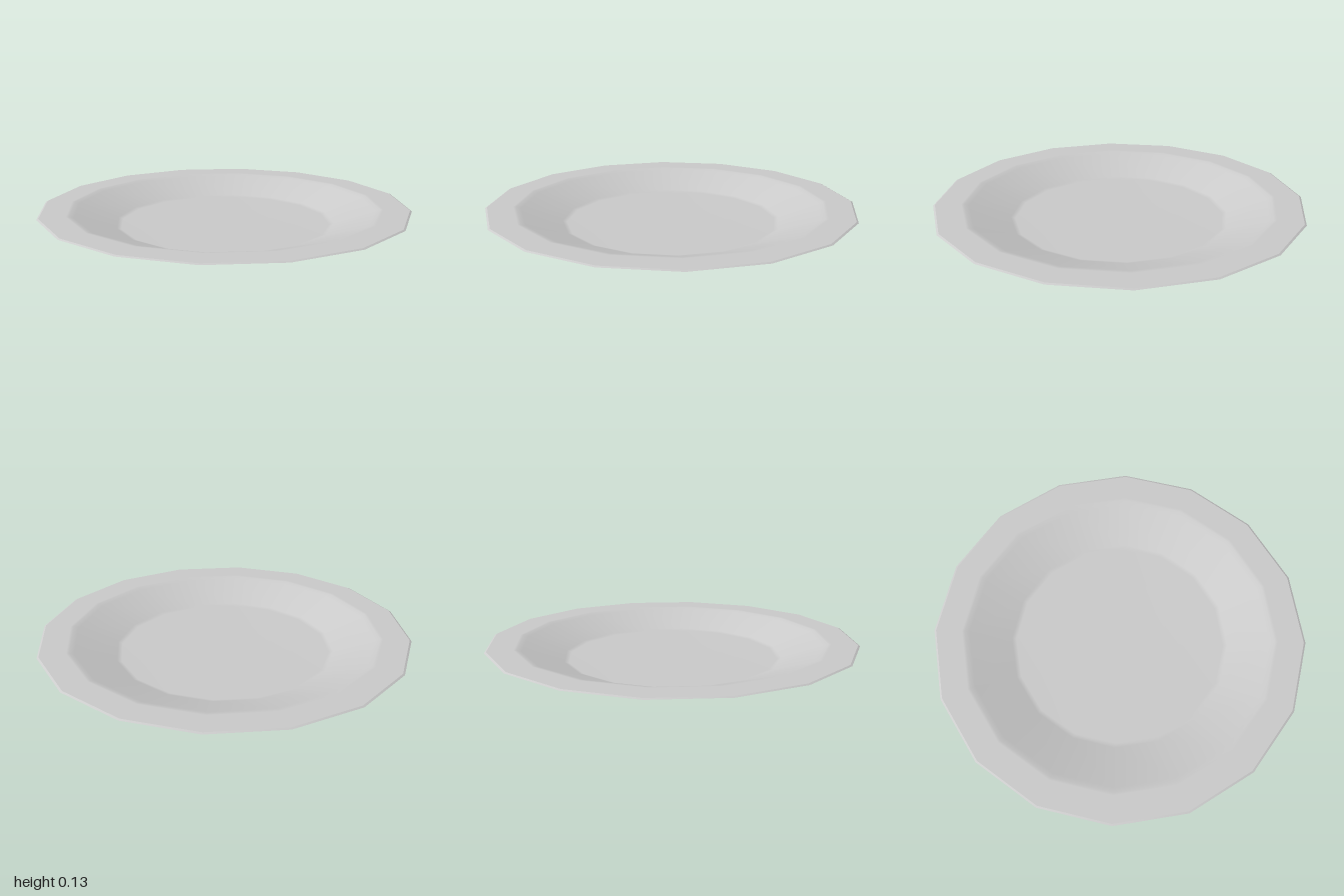
import * as THREE from 'three';

const SIDES = 16;

// Turn a list of [radius, height] pairs into a 16-sided smooth surface
function turned(name, profile, material) {
  const points = profile.map(([r, y]) => new THREE.Vector2(r, y));
  const mesh = new THREE.Mesh(new THREE.LatheGeometry(points, SIDES), material);
  mesh.name = name;
  return mesh;
}

export function createModel() {
  const plate = new THREE.Group();
  plate.name = 'plate';
  const material = new THREE.MeshStandardMaterial({ color: 0xcccccc });

  // Flat foot and flaring outside wall
  plate.add(turned('underside', [
    [0, 0], [0.53, 0], [0.55, 0.004], [0.985, 0.122], [1, 0.127],
  ], material));

  // Thin bevelled lip around the outer edge
  plate.add(turned('lip', [[1, 0.127], [0.99, 0.132]], material));

  // Flat rim, sloping inner wall and sunken floor, from outside in
  plate.add(turned('dish', [
    [0.99, 0.132], [0.85, 0.132], [0.835, 0.131], [0.81, 0.123],
    [0.59, 0.049], [0.565, 0.042], [0, 0.04],
  ], material));

  return plate;
}
